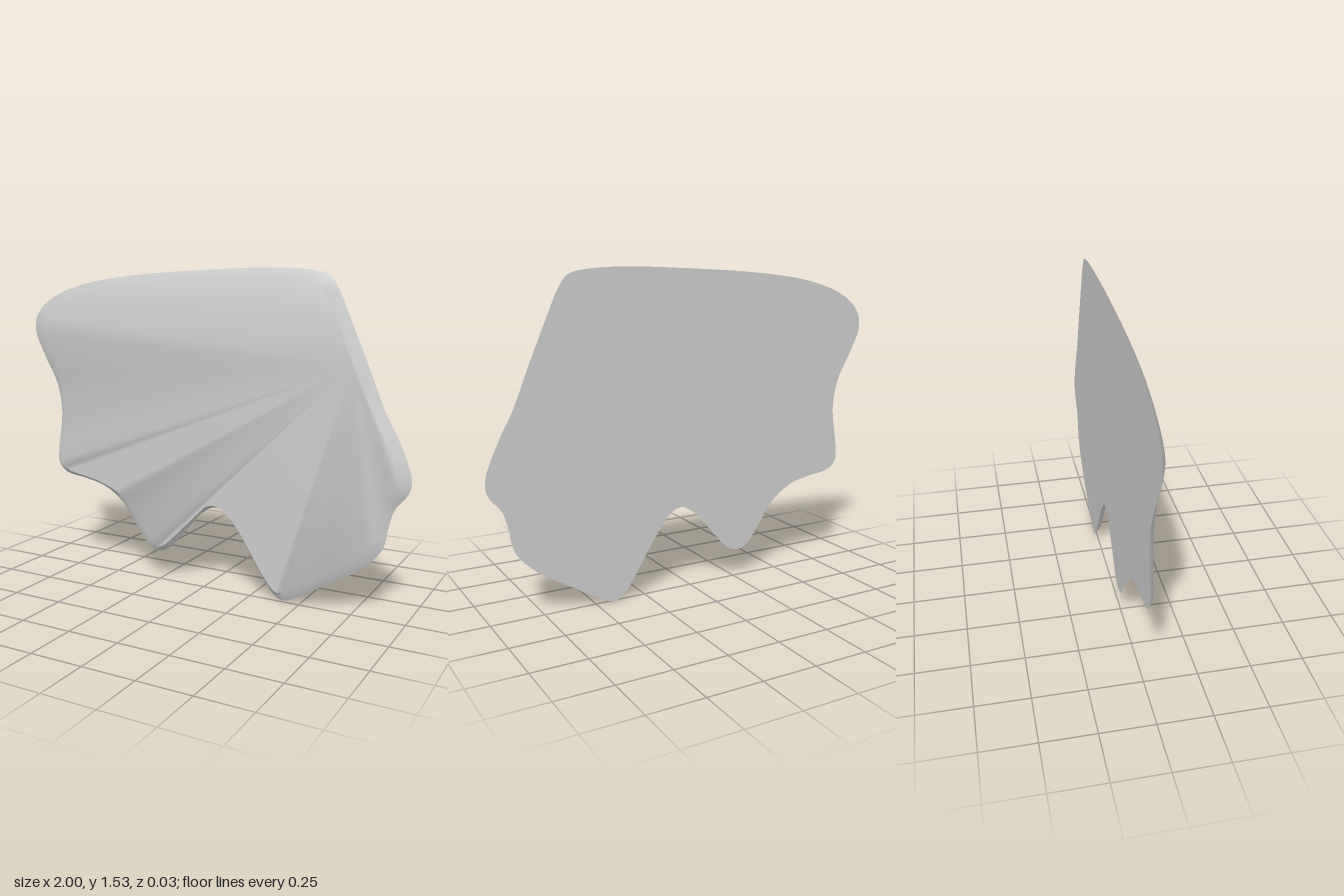
import * as THREE from 'three';
import { toCreasedNormals } from 'three/addons/utils/BufferGeometryUtils.js';

const BACK = -0.014, FRONT = 0.014;

// Wing outline, counter-clockwise from the lowest tip: [x, y, bevel width]
const OUTLINE = [
  [0.41, 0, 0.05], [0.47, 0.02, 0.05], [0.62, 0.11, 0.05], [0.78, 0.21, 0.05], [0.88, 0.32, 0.05],
  [0.905, 0.43, 0.05], [0.93, 0.51, 0.05], [0.985, 0.58, 0.05], [0.997, 0.65, 0.05], [0.93, 0.82, 0.05],
  [0.866, 0.94, 0.05], [0.80, 1.10, 0.05], [0.71, 1.31, 0.05], [0.64, 1.46, 0.05], [0.60, 1.505, 0.05],
  [0.52, 1.525, 0.05], [0.35, 1.535, 0.05], [0, 1.525, 0.05], [-0.4, 1.5, 0.05], [-0.7, 1.455, 0.06],
  [-0.9, 1.38, 0.07], [-0.985, 1.30, 0.07], [-1, 1.22, 0.07], [-0.95, 1.1, 0.06], [-0.87, 0.95, 0.05],
  [-0.845, 0.8, 0.05], [-0.87, 0.62, 0.05], [-0.87, 0.53, 0.045], [-0.82, 0.485, 0.025], [-0.7, 0.465, 0.02],
  [-0.58, 0.435, 0.025], [-0.47, 0.36, 0.045], [-0.38, 0.235, 0.05], [-0.32, 0.16, 0.05], [-0.26, 0.14, 0.03],
  [-0.2, 0.165, 0.02], [-0.08, 0.30, 0.018], [0, 0.38, 0.018], [0.06, 0.405, 0.018], [0.12, 0.375, 0.018],
  [0.22, 0.24, 0.02], [0.32, 0.08, 0.02], [0.37, 0.02, 0.03],
];

// Offsets the outline inwards by its bevel width, then relaxes it at tight tips
function insetRing(ring) {
  const n = ring.length;
  let inner = ring.map((p, i) => {
    const a = ring[(i + n - 1) % n], b = ring[(i + 1) % n];
    const tx = b.x - a.x, ty = b.y - a.y, len = Math.hypot(tx, ty);
    return new THREE.Vector3(p.x - (ty / len) * p.z, p.y + (tx / len) * p.z, FRONT);
  });
  for (let k = 0; k < 4; k++) {
    inner = inner.map((p, i) => inner[(i + n - 1) % n].clone().add(inner[(i + 1) % n])
      .multiplyScalar(0.25).addScaledVector(p, 0.5));
  }
  return inner;
}

function wingGeometry() {
  const curve = new THREE.CatmullRomCurve3(OUTLINE.map((p) => new THREE.Vector3(...p)), true);
  const n = OUTLINE.length * 4;
  const ring = Array.from({ length: n }, (_, i) => curve.getPoint(i / n));
  const inner = insetRing(ring);
  const outer = ring.map((p) => new THREE.Vector3(p.x, p.y, BACK));
  const hub = new THREE.Vector3(0.73, 1.12, FRONT + 0.001);
  const positions = [];
  const tri = (...corners) => corners.forEach((c) => positions.push(c.x, c.y, c.z));

  for (let i = 0; i < n; i++) {
    const j = (i + 1) % n;
    tri(hub, inner[i], inner[j]); // front fan radiating from the wing joint
    tri(outer[i], outer[j], inner[j]); // bevelled rim
    tri(outer[i], inner[j], inner[i]);
  }
  // Flat back
  const flat = outer.map((p) => new THREE.Vector2(p.x, p.y));
  THREE.ShapeUtils.triangulateShape(flat, []).forEach(([a, b, c]) => tri(outer[a], outer[c], outer[b]));

  const geometry = new THREE.BufferGeometry();
  geometry.setAttribute('position', new THREE.Float32BufferAttribute(positions, 3));
  return toCreasedNormals(geometry, 0.72);
}

export function createModel() {
  const group = new THREE.Group();
  group.name = 'wing';
  const membrane = new THREE.Mesh(wingGeometry(), new THREE.MeshStandardMaterial({ color: 0xcccccc }));
  membrane.name = 'wingMembrane';
  group.add(membrane);
  return group;
}
